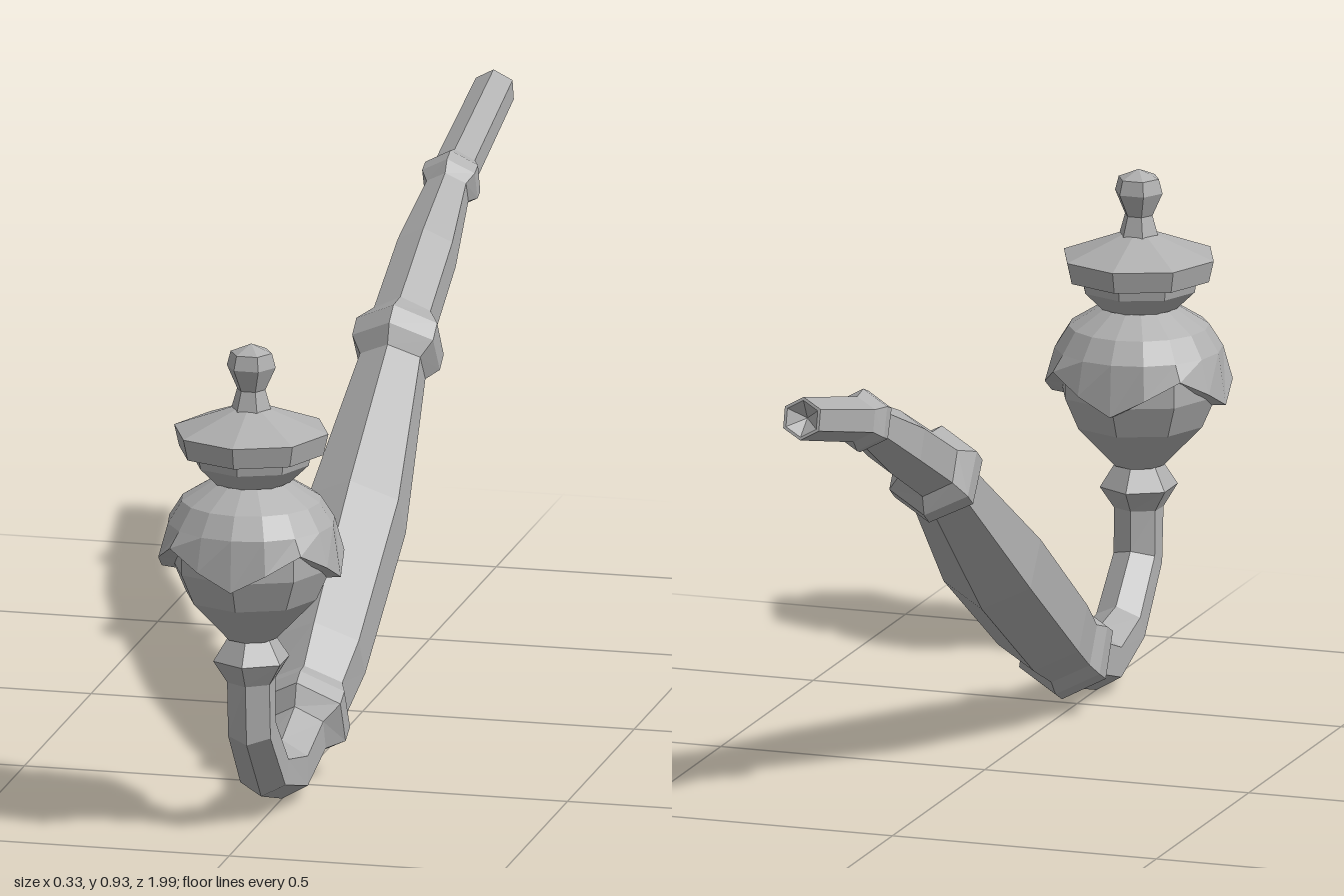
import * as THREE from 'three';

const CZ = 0.834; // bowl axis position along z

// Faceted copy of a geometry
function facet(geo) {
  const g = geo.index ? geo.toNonIndexed() : geo;
  g.computeVertexNormals();
  return g;
}

// Skin over a list of closed rings of Vector3 (counter-clockwise about the travel direction)
function skin(rings) {
  const n = rings[0].length, pos = [], idx = [];
  rings.forEach(ring => ring.forEach(p => pos.push(p.x, p.y, p.z)));
  for (let i = 0; i < rings.length - 1; i++)
    for (let j = 0; j < n; j++) {
      const a = i * n + j, b = i * n + (j + 1) % n;
      idx.push(a, b, b + n, a, b + n, a + n);
    }
  const g = new THREE.BufferGeometry();
  g.setAttribute('position', new THREE.Float32BufferAttribute(pos, 3));
  g.setIndex(idx);
  return facet(g);
}

// Hexagonal tube through [z, y, radius] stations in the x = 0 plane
function hexTube(stations) {
  const last = stations.length - 1;
  const rings = stations.map(([z, y, r], i) => {
    const p = stations[Math.max(i - 1, 0)], q = stations[Math.min(i + 1, last)];
    const t = new THREE.Vector2(q[0] - p[0], q[1] - p[1]).normalize();
    return Array.from({ length: 6 }, (_, j) => {
      const a = j * Math.PI / 3, c = r * Math.cos(a);
      return new THREE.Vector3(r * Math.sin(a), y - t.x * c, z + t.y * c);
    });
  });
  // shallow bore in the mouthpiece end
  const [z, y] = stations[last];
  const end = new THREE.Vector3(0, y, z);
  const rim = rings[last].map(p => p.clone().lerp(end, 0.15));
  const depth = new THREE.Vector3(0, y - 0.006, z + 0.03);
  rings.push(rim, rim.map(() => depth.clone()));
  return skin(rings);
}

function lathe(points, sides, start = 0) {
  const pts = points.map(([r, y]) => new THREE.Vector2(r, y));
  return facet(new THREE.LatheGeometry(pts, sides, start)).translate(0, 0, CZ);
}

// Raised scalloped leaf layer: tips on the axes, arches between them
function leafShell() {
  const rows = [
    a => [0.128, edgeY(a) - 0.004],
    a => [0.161 + 0.008 * Math.abs(Math.sin(a)) - 0.004 * Math.cos(4 * a), edgeY(a)],
    () => [0.151, 0.582],
    () => [0.126, 0.622],
    () => [0.07, 0.657],
  ];
  return skin(rows.map(row => Array.from({ length: 16 }, (_, j) => {
    const a = j * Math.PI / 8, [r, y] = row(a);
    return new THREE.Vector3(r * Math.sin(a), y, CZ + r * Math.cos(a));
  })));
}
const edgeY = a => 0.52 - 0.033 * Math.cos(4 * a);

export function createModel() {
  const group = new THREE.Group();
  const grey = new THREE.MeshStandardMaterial({ color: 0xb0b0b0 });
  grey.name = 'plain grey';
  const add = (name, geo) => {
    const m = new THREE.Mesh(geo, grey);
    m.name = name;
    group.add(m);
  };

  // Stem from the neck under the bowl to the mouthpiece, with its collars
  add('stem', hexTube([
    [CZ, 0.37, 0.042], [CZ, 0.325, 0.071], [CZ, 0.285, 0.045],
    [0.829, 0.193, 0.045], [0.735, 0.09, 0.048], [0.604, 0.058, 0.055], [0.49, 0.094, 0.058],
    [0.457, 0.11, 0.088], [0.425, 0.126, 0.088], [0.4, 0.141, 0.076],
    [0.315, 0.193, 0.088], [0.04, 0.38, 0.095], [-0.225, 0.583, 0.064],
    [-0.25, 0.602, 0.086], [-0.28, 0.624, 0.086], [-0.31, 0.643, 0.06],
    [-0.48, 0.725, 0.058], [-0.635, 0.798, 0.042],
    [-0.653, 0.806, 0.056], [-0.675, 0.814, 0.056], [-0.7, 0.821, 0.041],
    [-0.99, 0.893, 0.039],
  ]));

  // Bowl with raised leaves
  add('bowl', lathe([[0, 0.362], [0.046, 0.365], [0.12, 0.442], [0.146, 0.5],
    [0.146, 0.56], [0.118, 0.625], [0.068, 0.655]], 8));
  add('bowlLeaves', leafShell());

  // Flared rim and overhanging lid
  add('bowlRim', lathe([[0.07, 0.655], [0.106, 0.69], [0.11, 0.712]], 8));
  add('lid', lathe([[0.1, 0.711], [0.133, 0.711], [0.142, 0.75], [0.035, 0.79], [0, 0.79]], 8));

  // Finial knob
  add('knob', lathe([[0.037, 0.787], [0.026, 0.825], [0.045, 0.867], [0.038, 0.893], [0, 0.909]], 6, Math.PI / 2));

  return group;
}
